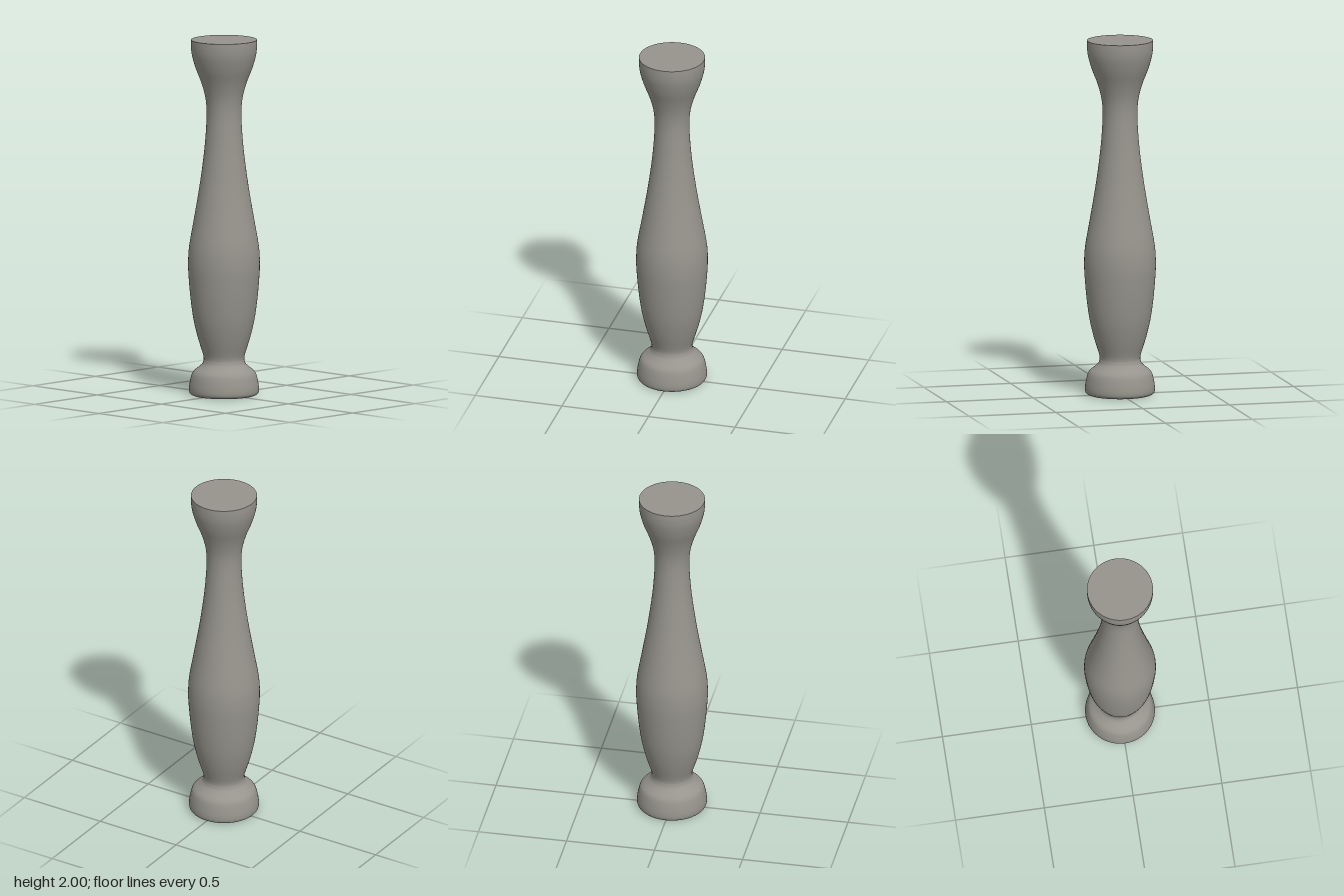
import * as THREE from 'three';

const SEGMENTS = 64;

// Smooth curve through [radius, height] points, spun around the y axis
function turned(name, points, samples, material) {
  const curve = new THREE.SplineCurve(points.map(([r, y]) => new THREE.Vector2(r, y)));
  const mesh = new THREE.Mesh(new THREE.LatheGeometry(curve.getPoints(samples), SEGMENTS), material);
  mesh.name = name;
  return mesh;
}

// Flat disc closing an end; facing is 1 for up, -1 for down
function endCap(name, radius, y, facing, material) {
  const geometry = new THREE.CircleGeometry(radius, SEGMENTS);
  geometry.rotateX(-facing * Math.PI / 2);
  const mesh = new THREE.Mesh(geometry, material);
  mesh.position.y = y;
  mesh.name = name;
  return mesh;
}

export function createModel() {
  const stone = new THREE.MeshStandardMaterial({ color: 0x96948c });
  stone.name = 'warm grey stone';

  const group = new THREE.Group();
  group.name = 'baluster';

  // Rounded foot, up to the narrow ankle
  const foot = [
    [0.172, 0], [0.186, 0.006], [0.194, 0.02], [0.194, 0.05], [0.187, 0.09],
    [0.178, 0.12], [0.165, 0.138], [0.14, 0.158], [0.12, 0.178], [0.113, 0.2],
  ];
  // Swelling belly, slender neck and flared head
  const shaft = [
    [0.113, 0.2], [0.117, 0.23], [0.145, 0.32], [0.169, 0.42], [0.185, 0.53],
    [0.196, 0.65], [0.2, 0.74], [0.194, 0.84], [0.168, 0.99], [0.136, 1.18],
    [0.112, 1.36], [0.1, 1.5], [0.097, 1.6], [0.105, 1.68], [0.127, 1.76],
    [0.158, 1.84], [0.178, 1.91], [0.184, 1.96], [0.184, 2],
  ];
  group.add(
    turned('foot', foot, 36, stone),
    turned('shaft', shaft, 72, stone),
    endCap('topFace', 0.184, 2, 1, stone),
    endCap('bottomFace', 0.172, 0, -1, stone),
  );
  return group;
}
